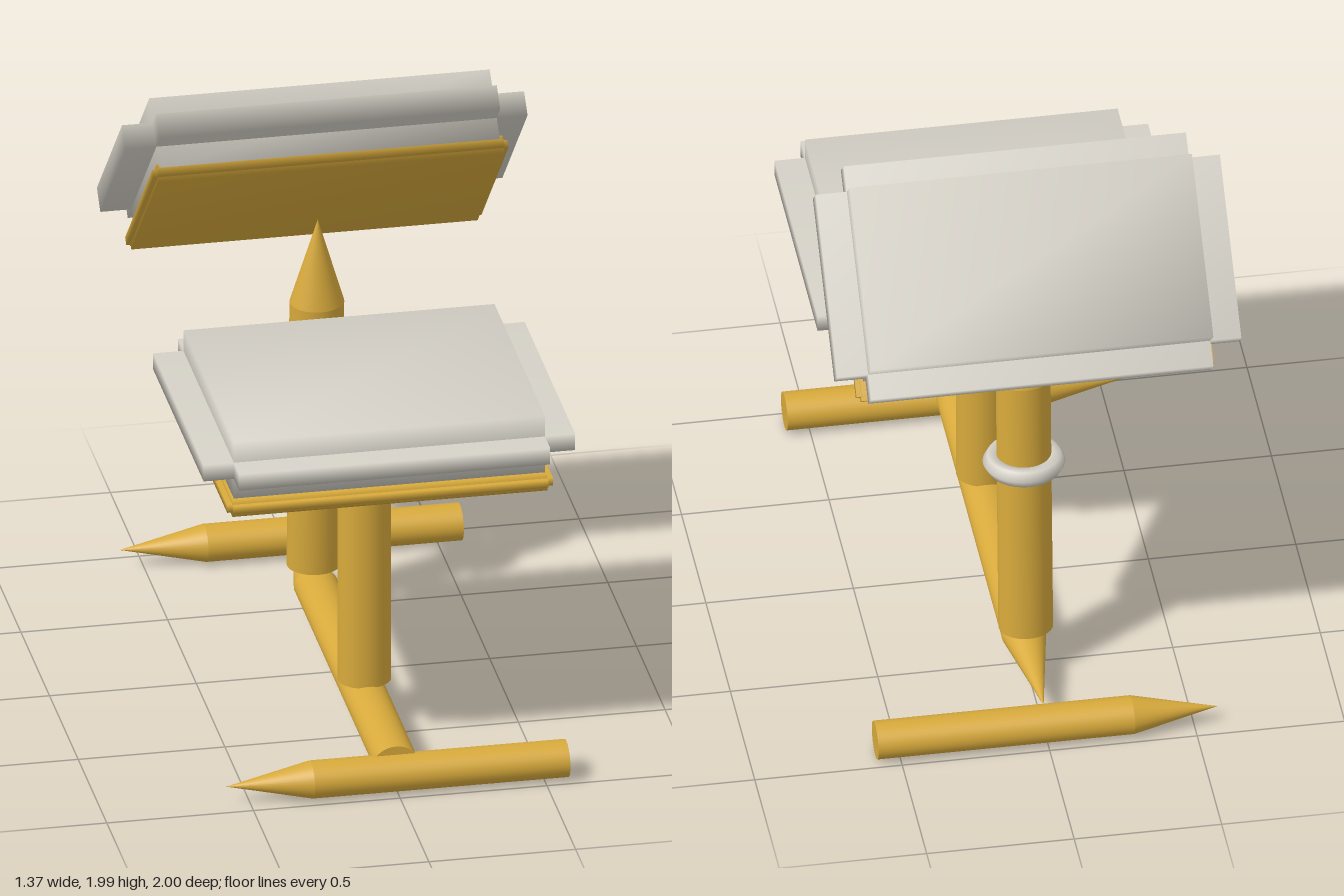
import * as THREE from 'three';
import { mergeVertices } from 'three/addons/utils/BufferGeometryUtils.js';

const gold = new THREE.MeshStandardMaterial({ color: 0xd8aa3c });
const grey = new THREE.MeshStandardMaterial({ color: 0xd6d2c8 });
gold.name = 'goldFrame';
grey.name = 'greyCushion';

// Box whose corners share smoothed normals
function softBox(hx, hy, hz) {
  const box = new THREE.BoxGeometry(2 * hx, 2 * hy, 2 * hz);
  box.deleteAttribute('normal');
  box.deleteAttribute('uv');
  const g = mergeVertices(box);
  g.computeVertexNormals();
  return g;
}

// Pad with stepped edges: a core widened by a thin band along each axis
function steppedPad(name, material, core, band) {
  const group = new THREE.Group();
  group.name = name;
  const sizes = [
    [core[0], core[1], core[2]],
    [band[0], band[1], core[2]],
    [core[0], band[1], band[2]],
  ];
  sizes.forEach((s, i) => {
    const mesh = new THREE.Mesh(softBox(...s), material);
    mesh.name = name + ['Core', 'SideBand', 'EndBand'][i];
    group.add(mesh);
  });
  return group;
}

// Round bar with a pointed end, running up local +y from the origin
function pointedBar(name, rx, rz, shaft, tip) {
  const group = new THREE.Group();
  group.name = name;
  const rod = new THREE.Mesh(new THREE.CylinderGeometry(1, 1, shaft, 32), gold);
  rod.name = name + 'Shaft';
  rod.position.y = shaft / 2;
  const point = new THREE.Mesh(new THREE.ConeGeometry(1, tip, 32, 1, true), gold);
  point.name = name + 'Tip';
  point.position.y = shaft + tip / 2;
  for (const m of [rod, point]) m.scale.set(rx, 1, rz);
  group.add(rod, point);
  return group;
}

export function createModel() {
  const model = new THREE.Group();
  model.name = 'kneelingChair';

  // Two feet lying across, pointing to the right
  for (const [name, z] of [['frontFoot', 0.93], ['rearFoot', -0.93]]) {
    const foot = pointedBar(name, 0.063, 0.07, 0.87, 0.29);
    foot.rotation.z = Math.PI / 2;
    foot.position.set(0.58, 0.063, z);
    model.add(foot);
  }

  // Floor beam joining the feet
  const beam = pointedBar('floorBeam', 0.075, 0.06, 1.4, 0.4);
  beam.rotation.x = -Math.PI / 2;
  beam.position.set(0, 0.096, 0.925);
  model.add(beam);

  // Upright posts, the rear one leaning slightly
  const frontPost = pointedBar('frontPost', 0.09, 0.083, 0.69, 0.29);
  frontPost.position.set(0, 0.15, 0.373);
  const rearPost = pointedBar('rearPost', 0.092, 0.083, 1.0, 0.31);
  rearPost.rotation.x = 0.052;
  rearPost.position.set(0, 0.16, -0.508);
  model.add(frontPost, rearPost);

  // Collar around the rear post
  const collar = new THREE.Mesh(new THREE.TorusGeometry(0.106, 0.033, 6, 32), grey);
  collar.name = 'postCollar';
  collar.rotation.x = Math.PI / 2 + 0.052;
  collar.position.set(0, 0.825, -0.473);
  model.add(collar);

  // Front cushion on its base board
  const cushion = steppedPad('frontCushion', grey, [0.53, 0.106, 0.44], [0.633, 0.03, 0.533]);
  cushion.position.set(0, 1.174, 0.37);
  const board = steppedPad('frontBoard', gold, [0.537, 0.031, 0.45], [0.555, 0.014, 0.465]);
  board.position.set(0, 1.04, 0.372);
  model.add(cushion, board);

  // Tilted rear cushion on its base board
  const rearCushion = steppedPad('rearCushion', grey, [0.58, 0.13, 0.311], [0.685, 0.043, 0.397]);
  rearCushion.position.set(0, 1.674, -0.537);
  const rearBoard = steppedPad('rearBoard', gold, [0.59, 0.031, 0.335], [0.605, 0.014, 0.35]);
  rearBoard.position.set(0, 1.56, -0.457);
  for (const pad of [rearCushion, rearBoard]) pad.rotation.x = -Math.PI / 4;
  model.add(rearCushion, rearBoard);

  return model;
}
